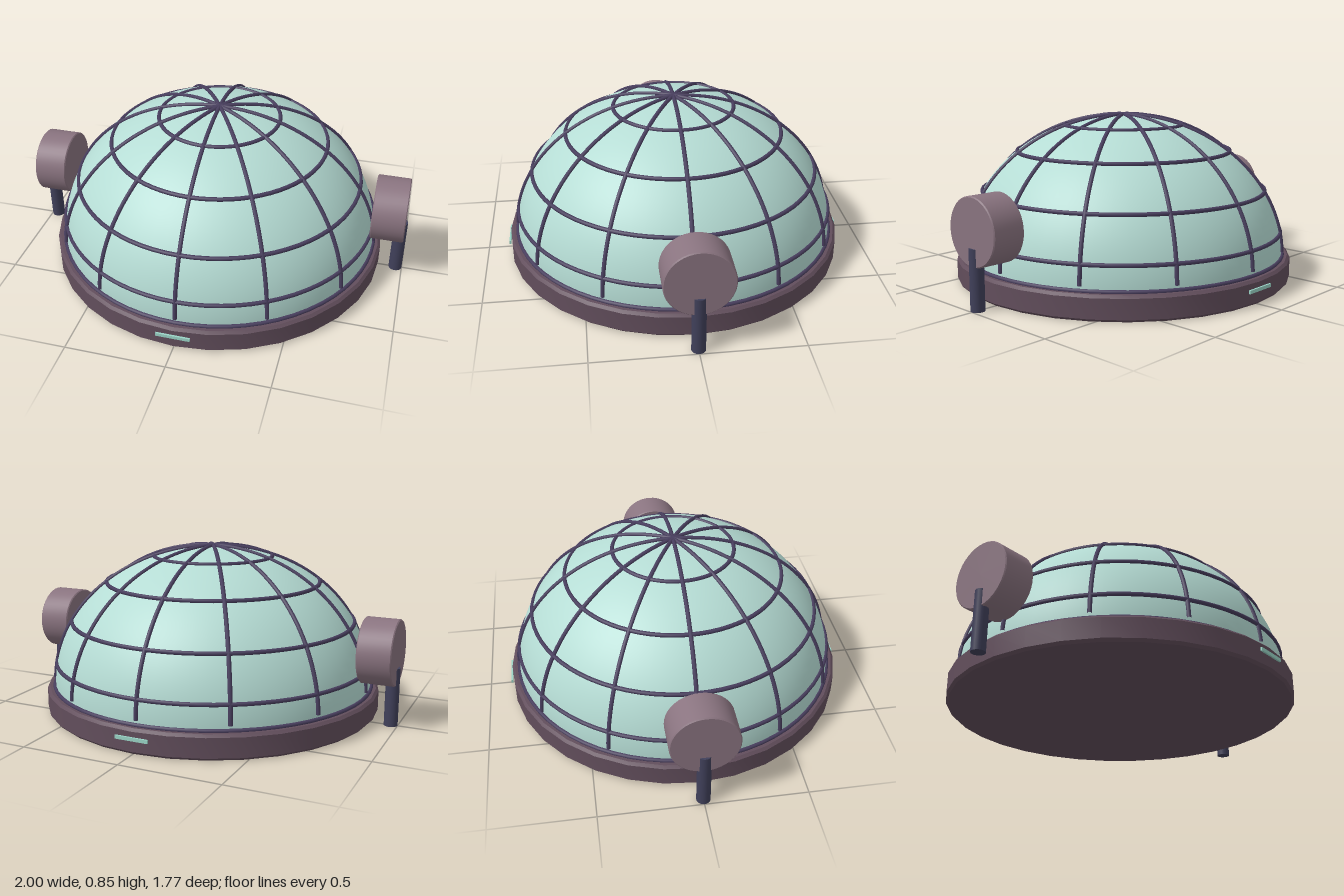
import * as THREE from 'three';
import { toCreasedNormals } from 'three/addons/utils/BufferGeometryUtils.js';

const mat = (name, color) => {
  const m = new THREE.MeshStandardMaterial({ color });
  m.name = name;
  return m;
};

// Lathe from [radius, y] pairs with crisp bevel edges
const lathe = (pts, segments) => toCreasedNormals(
  new THREE.LatheGeometry(pts.map(([r, y]) => new THREE.Vector2(r, y)), segments), 0.5);

export function createModel() {
  const glass = mat('paleGlass', 0xb5dcd4);
  const frame = mat('frameViolet', 0x483e5e);
  const stone = mat('baseMauve', 0x624e5c);
  const podMat = mat('podMauve', 0x8a7480);
  const steel = mat('darkSteel', 0x40405a);
  const lamp = mat('lampTeal', 0x9ad4c6);

  const model = new THREE.Group();
  const add = (name, geo, material, parent = model) => {
    const mesh = new THREE.Mesh(geo, material);
    mesh.name = name;
    parent.add(mesh);
    return mesh;
  };

  // Dome dimensions: a flattened half sphere above the base
  const baseY = 0.12, A = 0.832, B = 0.715;
  const onDome = (t, r = 0) => [(A + r) * Math.cos(t), baseY + (B + r) * Math.sin(t)];

  // Bevelled base disc
  add('base', lathe([[0, 0], [0.862, 0], [0.875, 0.013], [0.875, 0.11], [0.862, 0.123], [0, 0.123]], 32), stone);

  // Glass dome
  const dome = add('dome', new THREE.SphereGeometry(1, 64, 32, 0, Math.PI * 2, 0, Math.PI / 2), glass);
  dome.scale.set(A, B, A);
  dome.position.y = baseY;

  // Rim where the dome meets the base
  const rim = add('domeRim', new THREE.TorusGeometry(0.835, 0.011, 8, 64), frame);
  rim.rotation.x = Math.PI / 2;
  rim.position.y = 0.127;

  // Meridian ribs
  const ribs = new THREE.Group();
  ribs.name = 'domeFrame';
  model.add(ribs);
  const path = [];
  for (let i = 0; i <= 20; i++) {
    const t = THREE.MathUtils.lerp(0.042, Math.PI / 2, i / 20);
    const [r, y] = onDome(t, 0.003);
    path.push(new THREE.Vector3(r, y, 0));
  }
  const ribGeo = new THREE.TubeGeometry(new THREE.CatmullRomCurve3(path), 36, 0.0105, 8);
  for (let i = 0; i < 12; i++) {
    add('meridianRib', ribGeo, frame, ribs).rotation.y = i * Math.PI / 6;
  }

  // Horizontal rings
  for (const y of [0.245, 0.455, 0.655, 0.785]) {
    const [r] = onDome(Math.asin((y - baseY) / B), 0.003);
    const ring = add('latitudeRing', new THREE.TorusGeometry(r, 0.0105, 8, 72), frame, ribs);
    ring.rotation.x = Math.PI / 2;
    ring.position.y = y;
  }

  // Side pods, each held by a post
  const podGeo = lathe([[0, -0.085], [0.16, -0.085], [0.165, -0.08], [0.165, 0.08], [0.16, 0.085], [0, 0.085]], 40);
  const postGeo = new THREE.CylinderGeometry(0.034, 0.034, 0.295, 20);
  for (const [side, s] of [['left', 1], ['right', -1]]) {
    const pod = add(side + 'Pod', podGeo, podMat);
    pod.rotation.z = Math.PI / 2;
    pod.position.set(s * 0.903, 0.37, 0);
    add(side + 'Post', postGeo, steel).position.set(s * 0.966, 0.1475, 0);
  }

  // Thin light strips on the front and back of the base
  for (const [side, s] of [['front', 1], ['back', -1]]) {
    add(side + 'Light', new THREE.BoxGeometry(0.168, 0.017, 0.009), lamp).position.set(0, 0.076, s * 0.8785);
  }

  return model;
}
